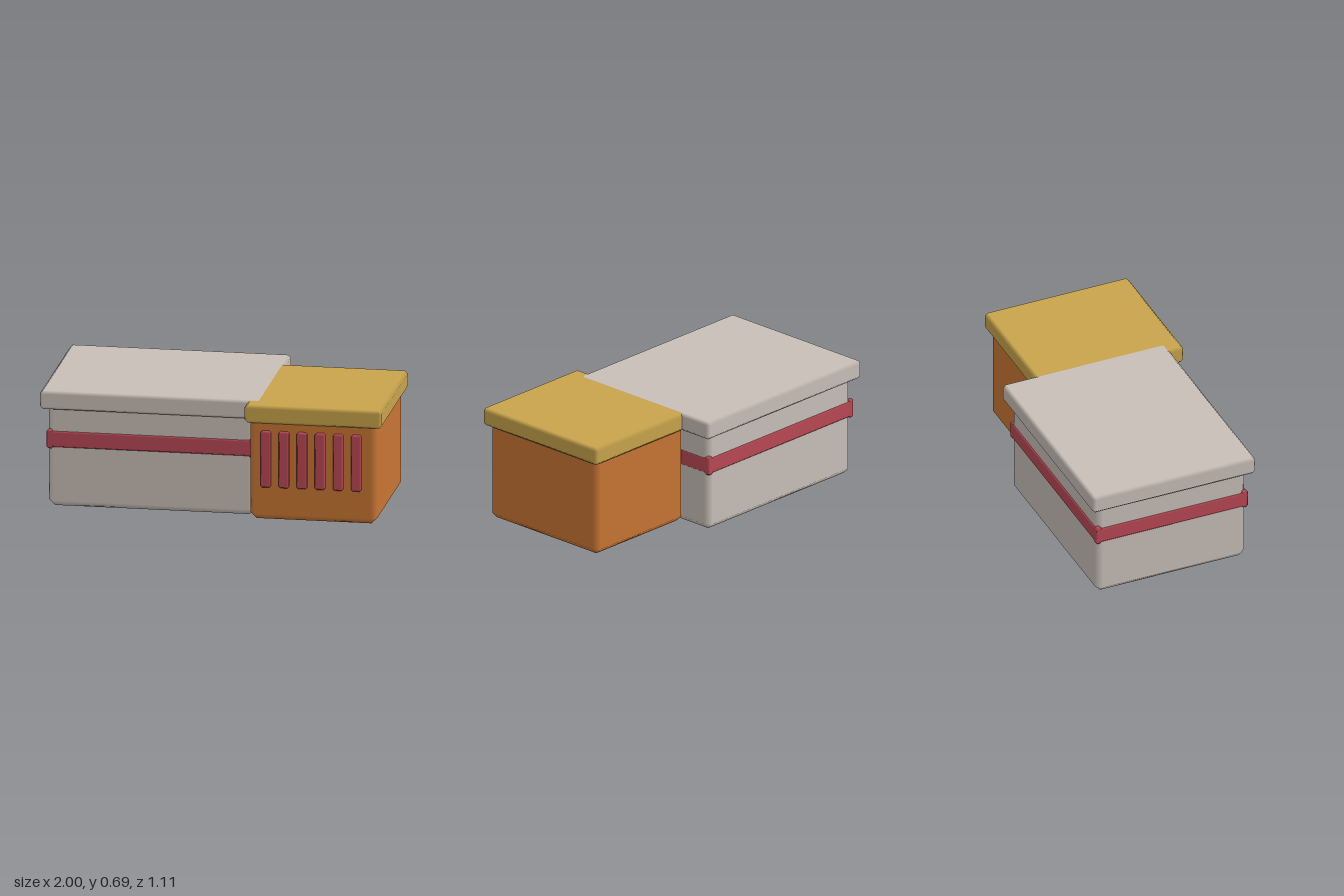
import * as THREE from 'three';
import { ConvexGeometry } from 'three/addons/geometries/ConvexGeometry.js';

const mat = (name, color) => Object.assign(new THREE.MeshStandardMaterial({ color }), { name });

// Box with single chamfers; each corner keeps its flat face's normal so the chamfers shade softly.
function chamferBox(size, c) {
  const half = size.map((s) => s / 2);
  const points = [];
  for (let axis = 0; axis < 3; axis++)
    for (const sx of [-1, 1]) for (const sy of [-1, 1]) for (const sz of [-1, 1]) {
      const s = [sx, sy, sz];
      points.push(new THREE.Vector3(...half.map((h, i) => s[i] * (i === axis ? h : h - c))));
    }
  const geo = new ConvexGeometry(points);
  const pos = geo.attributes.position;
  for (let i = 0; i < pos.count; i++) {
    const p = [pos.getX(i), pos.getY(i), pos.getZ(i)];
    geo.attributes.normal.setXYZ(i, ...p.map((v, k) => (Math.abs(v) > half[k] - c / 2 ? Math.sign(v) : 0)));
  }
  return geo;
}

export function createModel() {
  const model = new THREE.Group();
  model.name = 'twoBlockBuilding';
  const grey = mat('warmGrey', 0xc9bfb8);
  const orange = mat('orange', 0xc87533);
  const gold = mat('gold', 0xc8a44c);
  const red = mat('red', 0xb94855);

  // Add a chamfered box from its extents on each axis
  const add = (name, material, [x0, x1], [y0, y1], [z0, z1], chamfer) => {
    const mesh = new THREE.Mesh(chamferBox([x1 - x0, y1 - y0, z1 - z0], chamfer), material);
    mesh.position.set((x0 + x1) / 2, (y0 + y1) / 2, (z0 + z1) / 2);
    mesh.name = name;
    model.add(mesh);
  };

  // Main block and its roof slab
  add('mainBody', grey, [-0.96, 0.24], [0, 0.62], [-0.515, 0.42], 0.035);
  add('mainRoof', grey, [-1, 0.285], [0.585, 0.695], [-0.555, 0.465], 0.018);

  // Side block and its roof slab
  add('sideBody', orange, [0.23, 0.968], [0.01, 0.62], [-0.322, 0.53], 0.035);
  add('sideRoof', gold, [0.203, 1], [0.585, 0.692], [-0.35, 0.552], 0.018);

  // Band around the main block, with slightly taller corners
  const bandY = [0.355, 0.448];
  const cornerY = [0.345, 0.457];
  const xs = [[-0.968, -0.93], [0.207, 0.245]];
  const zs = [[-0.523, -0.485], [0.392, 0.43]];
  for (const z of zs) add('bandLong', red, [-0.966, 0.243], bandY, z, 0.008);
  for (const x of xs) add('bandShort', red, x, bandY, [-0.521, 0.428], 0.008);
  for (const x of xs) for (const z of zs) add('bandCorner', red, x, cornerY, z, 0.01);

  // Row of vertical slats on the front of the side block
  for (let i = 0; i < 6; i++) {
    const x = 0.327 + i * 0.105;
    add('slat', red, [x - 0.03, x + 0.03], [0.208, 0.542], [0.51, 0.555], 0.01);
  }
  return model;
}
